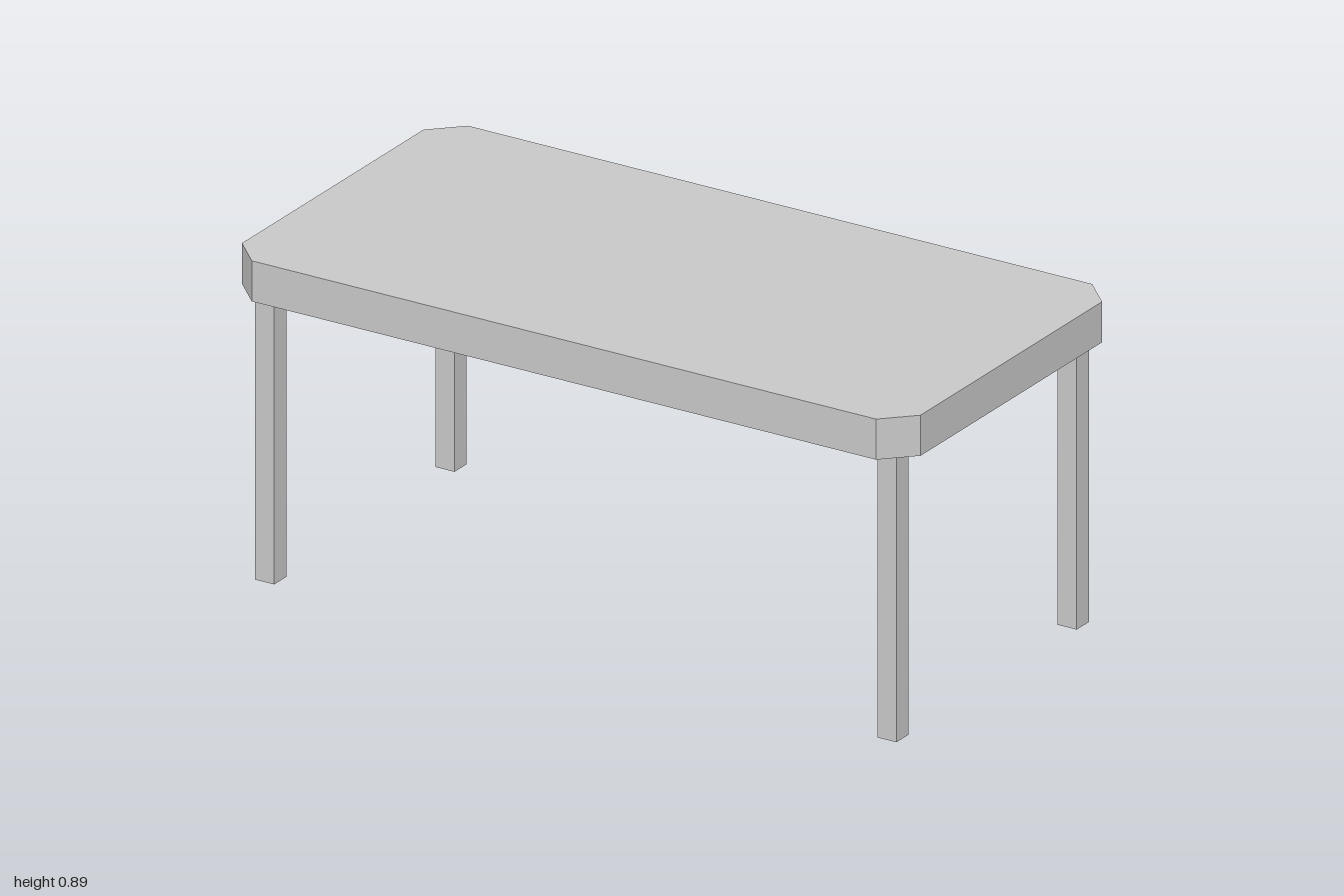
import * as THREE from 'three';

export function createModel() {
  const table = new THREE.Group();
  table.name = 'table';
  const grey = new THREE.MeshStandardMaterial({ color: 0xc8c8c8 });
  grey.name = 'light grey';

  const topY = 0.89, slab = 0.11, legHeight = topY - slab;

  // Table top: rectangle with cut corners
  const w = 1, d = 0.5, cut = 0.08;
  const outline = new THREE.Shape([
    [w - cut, -d], [w, -d + cut], [w, d - cut], [w - cut, d],
    [-w + cut, d], [-w, d - cut], [-w, -d + cut], [-w + cut, -d],
  ].map(([x, y]) => new THREE.Vector2(x, y)));
  const topGeometry = new THREE.ExtrudeGeometry(outline, { depth: slab, bevelEnabled: false });
  topGeometry.rotateX(-Math.PI / 2);
  const top = new THREE.Mesh(topGeometry, grey);
  top.name = 'tableTop';
  top.position.y = legHeight;
  table.add(top);

  // Four square legs
  const legGeometry = new THREE.BoxGeometry(0.056, legHeight, 0.056);
  for (const [sx, side] of [[1, 'Left'], [-1, 'Right']]) {
    for (const [sz, end] of [[1, 'front'], [-1, 'back']]) {
      const leg = new THREE.Mesh(legGeometry, grey);
      leg.name = `${end}${side}Leg`;
      leg.position.set(sx * 0.917, legHeight / 2, sz * 0.417);
      table.add(leg);
    }
  }
  return table;
}
